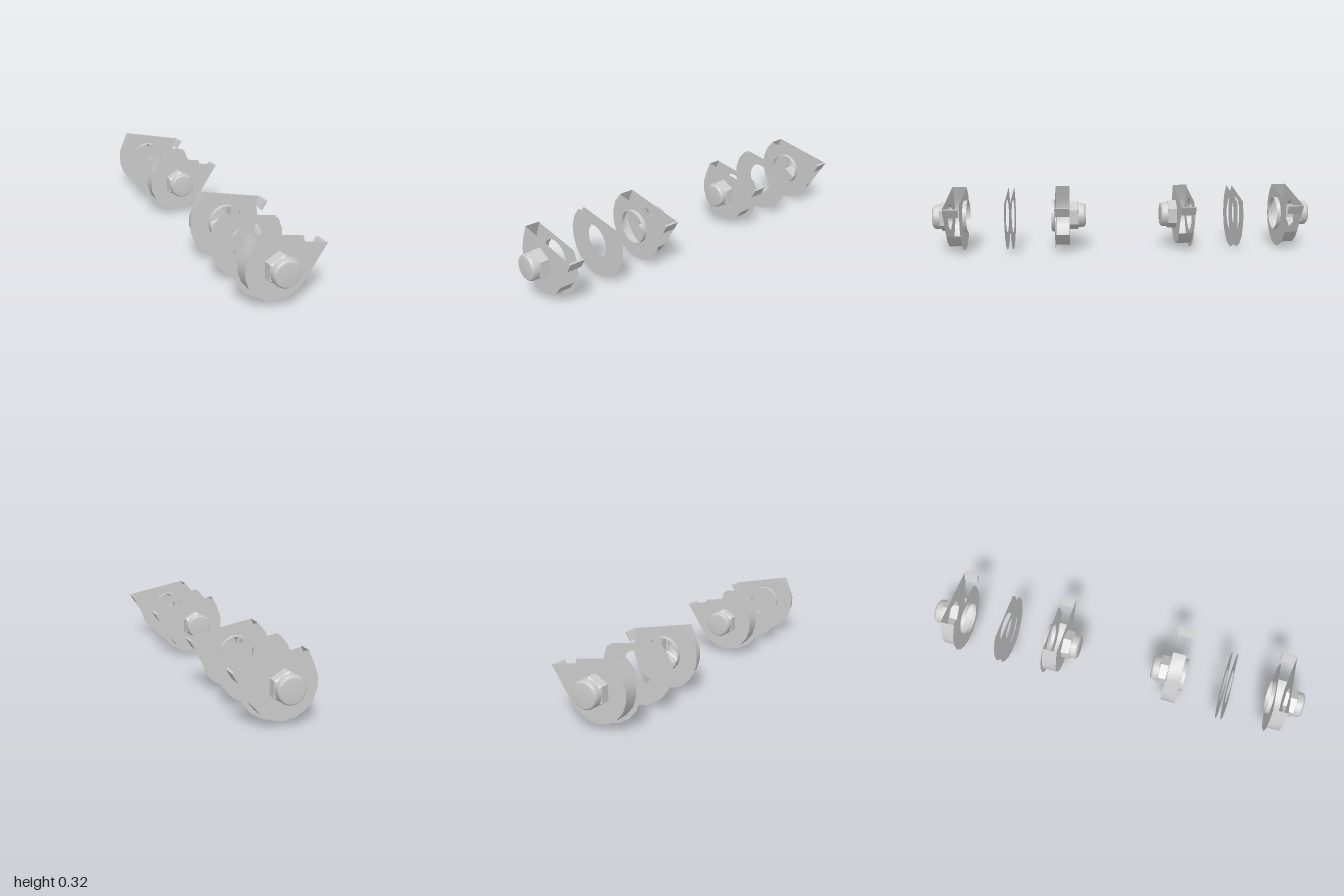
import * as THREE from 'three';

const CX = -0.029, CY = 0.181; // bolt axis
const INNER = 0.24, OUTER = 0.315; // depth of a clamp shell, measured from the pair's middle
const material = new THREE.MeshStandardMaterial({ color: 0xcccccc, side: THREE.DoubleSide });
const flatMaterial = material.clone();
flatMaterial.flatShading = true;

function addMesh(parent, name, geometry, mat = material) {
  const mesh = new THREE.Mesh(geometry, mat);
  mesh.name = name;
  parent.add(mesh);
  return mesh;
}

// Points on a faceted arc around the bolt axis, angles in degrees
function arc(radius, from, to, step) {
  const points = [];
  for (let a = from; a <= to + 0.01; a += step) {
    const t = THREE.MathUtils.degToRad(a);
    points.push(new THREE.Vector2(CX + radius * Math.cos(t), CY + radius * Math.sin(t)));
  }
  return points;
}

function sheet(outline, hole, z) {
  const shape = new THREE.Shape(outline);
  shape.holes.push(new THREE.Path(hole));
  return new THREE.ShapeGeometry(shape).translate(0, 0, z);
}

// Open band that follows a line of points between two depths
function band(points, z0, z1) {
  const position = [], index = [];
  points.forEach((p, i) => {
    position.push(p.x, p.y, z0, p.x, p.y, z1);
    if (i) {
      const a = 2 * i - 2;
      index.push(a, a + 2, a + 1, a + 1, a + 2, a + 3);
    }
  });
  const geometry = new THREE.BufferGeometry();
  geometry.setAttribute('position', new THREE.Float32BufferAttribute(position, 3));
  geometry.setIndex(index);
  geometry.computeVertexNormals();
  return geometry;
}

// Round washer face with a straight cut on top
const washerFace = (z) => sheet(arc(0.18, 130, 390, 20), arc(0.087, 0, 340, 20), z);

function createClamp() {
  const clamp = new THREE.Group();
  clamp.name = 'clamp';

  // Outer plate: round below, with a straight sloping top that ends in a beak
  const topCorner = new THREE.Vector2(-0.137, 0.325);
  const beak = new THREE.Vector2(0.205, 0.255);
  const curve = [topCorner, ...arc(0.158, 150, 330, 20)];
  addMesh(clamp, 'outerPlate', sheet([...curve, beak], arc(0.0755, 30, 330, 60), OUTER));
  addMesh(clamp, 'curvedRim', band(curve, INNER, OUTER));

  // Small folded tab at the beak
  const tab = new THREE.Shape([[0.205, 0.255], [0.191, 0.256], [0.169, 0.212], [0.177, 0.21]]
    .map(([x, y]) => new THREE.Vector2(x, y)));
  addMesh(clamp, 'beakTab', new THREE.ExtrudeGeometry(tab, { depth: OUTER - INNER, bevelEnabled: false })
    .translate(0, 0, INNER), flatMaterial);

  // Inner face and the collar around its hole
  addMesh(clamp, 'innerFace', washerFace(INNER));
  addMesh(clamp, 'collar', new THREE.CylinderGeometry(0.085, 0.087, 0.02, 18, 1, true)
    .rotateX(-Math.PI / 2).translate(CX, CY, INNER - 0.01));

  // Hollow hex nut with chamfered edge, closed by a rounded cap
  const nut = new THREE.Group();
  nut.name = 'nut';
  nut.position.set(CX, CY, OUTER);
  clamp.add(nut);
  addMesh(nut, 'nutBody', new THREE.CylinderGeometry(0.0755, 0.0755, 0.043, 6, 1, true)
    .rotateX(Math.PI / 2).translate(0, 0, 0.0215), flatMaterial);
  addMesh(nut, 'nutChamfer', new THREE.CylinderGeometry(0.064, 0.0755, 0.007, 6, 1, true)
    .rotateX(Math.PI / 2).translate(0, 0, 0.0465), flatMaterial);
  const capProfile = [[0.065, 0.043], [0.065, 0.07], [0.062, 0.079], [0.055, 0.085], [0, 0.085]]
    .map(([r, h]) => new THREE.Vector2(r, h));
  addMesh(nut, 'nutCap', new THREE.LatheGeometry(capProfile, 16).rotateX(Math.PI / 2));
  return clamp;
}

export function createModel() {
  const model = new THREE.Group();
  model.name = 'clampSet';

  for (const z of [0.6, -0.6]) {
    const pair = new THREE.Group();
    pair.name = 'clampPair';
    pair.position.z = z;
    model.add(pair);

    // Two facing clamps
    for (const side of [1, -1]) {
      const clamp = createClamp();
      clamp.scale.z = side;
      pair.add(clamp);
      // Thin washer between them, made of two faces
      addMesh(pair, 'middleWasherFace', washerFace(0.015 * side));
    }
  }
  return model;
}
